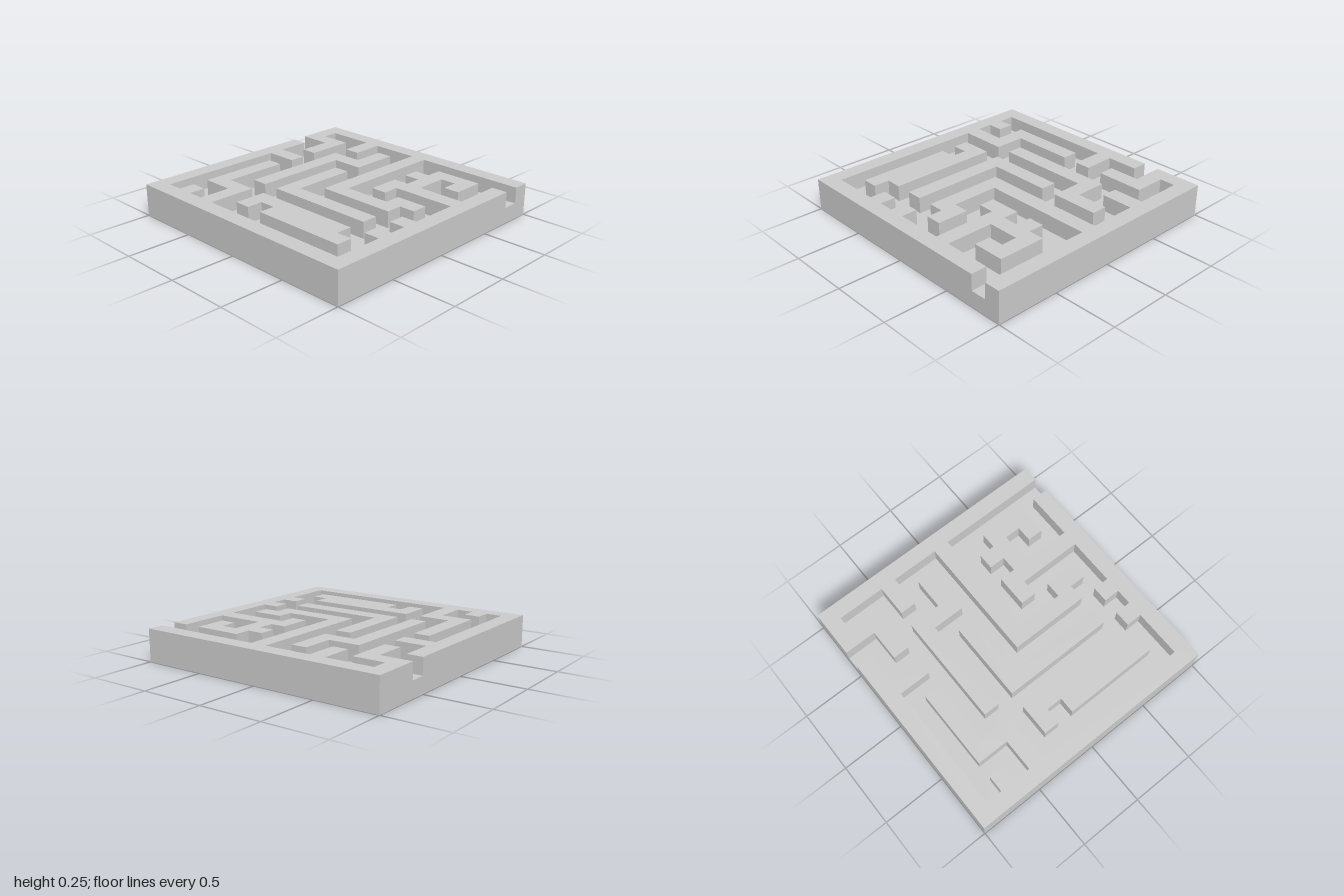
import * as THREE from 'three';

const CELL = 0.125;   // the maze lies on a 16 x 16 grid
const FLOOR = 0.125;  // height of the channel floor
const HEIGHT = 0.25;  // height of the wall tops

// Right-angled outlines in grid cells: start x, z, then alternating new x, new z.
const WALLS = {
  backWall: [0, 0, 16, 1, 9, 8, 12, 7, 14, 8, 13, 9, 8, 1, 5, 3, 4, 1, 1, 2, 3, 5, 2, 3, 0],
  frontWall: [0, 4, 1, 6, 3, 7, 1, 15, 2, 14, 3, 15, 4, 13, 2, 8, 3, 12, 5, 15, 15, 12, 14, 11,
    15, 10, 14, 9, 15, 6, 11, 7, 10, 5, 11, 4, 10, 3, 11, 2, 14, 4, 13, 3, 12, 5, 15, 2, 16, 16, 0],
  hookedIsland: [4, 4, 6, 2, 7, 5, 5, 11, 4],
  cornerIsland: [6, 6, 7, 10, 13, 11, 6],
  notchedIsland: [6, 12, 13, 13, 14, 14, 8, 13, 7, 14, 6],
};

function outline(steps) {
  const at = (k) => k * CELL - 1;
  let [x, z] = steps;
  const points = [new THREE.Vector2(at(x), at(z))];
  steps.slice(2).forEach((value, i) => {
    if (i % 2 === 0) x = value;
    else z = value;
    points.push(new THREE.Vector2(at(x), at(z)));
  });
  return new THREE.Shape(points);
}

export function createModel() {
  const group = new THREE.Group();
  group.name = 'maze';
  const material = new THREE.MeshStandardMaterial({ color: 0xcccccc });

  const add = (name, geometry) => {
    const mesh = new THREE.Mesh(geometry, material);
    mesh.name = name;
    group.add(mesh);
  };

  // Solid slab whose top is the channel floor
  add('base', new THREE.BoxGeometry(2, FLOOR, 2).translate(0, FLOOR / 2, 0));

  // Walls standing on the slab, with openings at the left and right edges
  for (const [name, steps] of Object.entries(WALLS)) {
    const geometry = new THREE.ExtrudeGeometry(outline(steps), {
      depth: HEIGHT - FLOOR,
      bevelEnabled: false,
    });
    add(name, geometry.rotateX(Math.PI / 2).translate(0, HEIGHT, 0));
  }
  return group;
}
